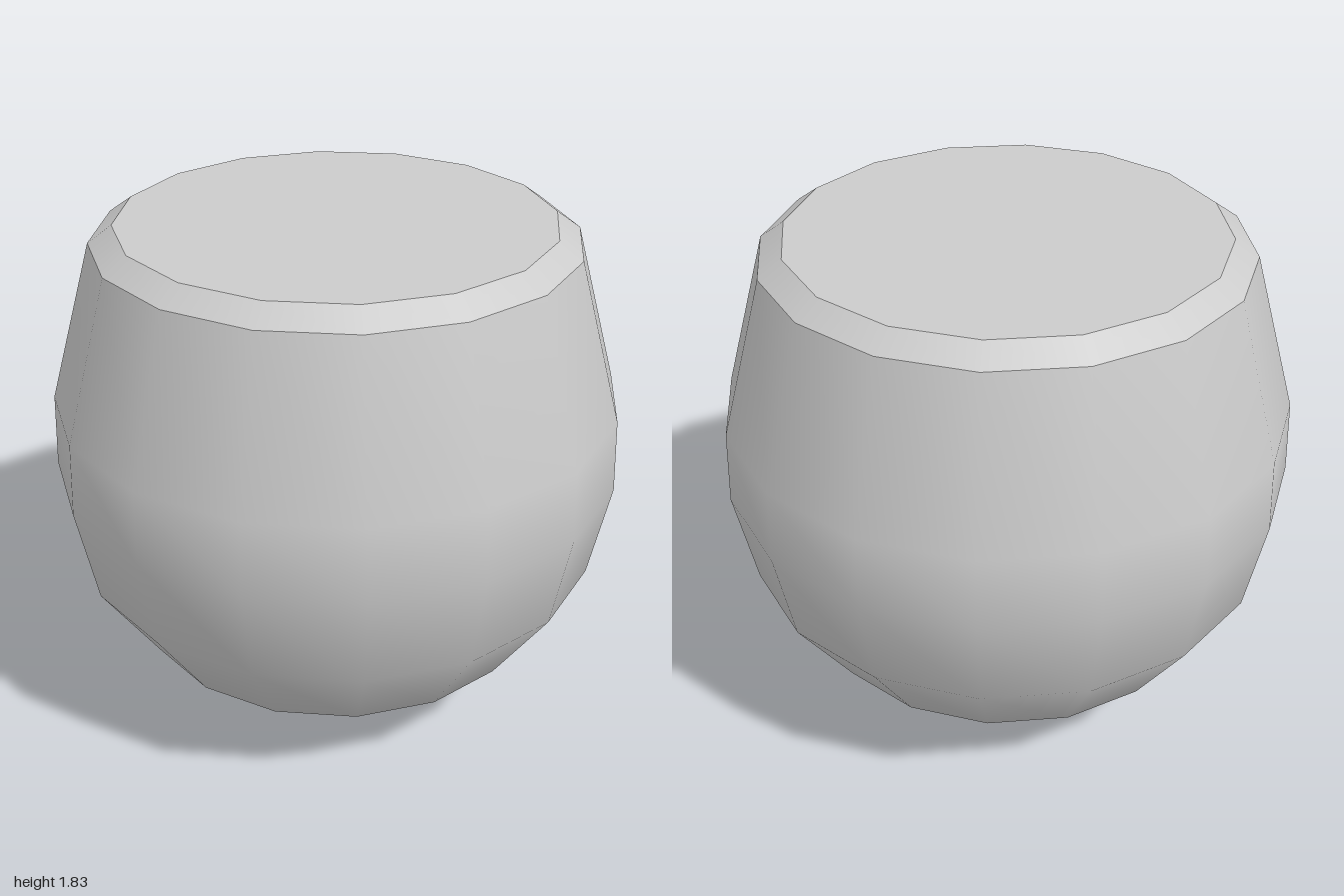
import * as THREE from 'three';

const SIDES = 16;

export function createModel() {
  const group = new THREE.Group();
  group.name = 'roundedBowl';
  const material = new THREE.MeshStandardMaterial({ color: 0xcccccc });

  // Each band is its own lathe, so edges between bands stay sharp
  const addBand = (name, profile) => {
    const points = profile.map(([r, y]) => new THREE.Vector2(r, y));
    const mesh = new THREE.Mesh(new THREE.LatheGeometry(points, SIDES), material);
    mesh.name = name;
    group.add(mesh);
    return mesh;
  };

  // Round body, smooth from the bottom point up to the rim
  const body = addBand('body', [
    [0, 0], [0.39, 0.08], [0.72, 0.3], [0.93, 0.605],
    [1, 0.95], [0.99, 1.21], [0.833, 1.77],
  ]);

  // The lowest ring is slightly wider and higher along x
  const pos = body.geometry.attributes.position;
  for (let i = 0; i < pos.count; i++) {
    if (Math.abs(pos.getY(i) - 0.08) > 0.001) continue;
    const x = pos.getX(i);
    pos.setX(i, x * 1.1);
    pos.setY(i, 0.08 + 0.02 * (x / 0.39) ** 2);
  }

  // Bevelled rim
  addBand('rim', [[0.833, 1.77], [0.75, 1.83]]);

  // Flat closed top
  addBand('top', [[0.75, 1.83], [0, 1.83]]);

  return group;
}
